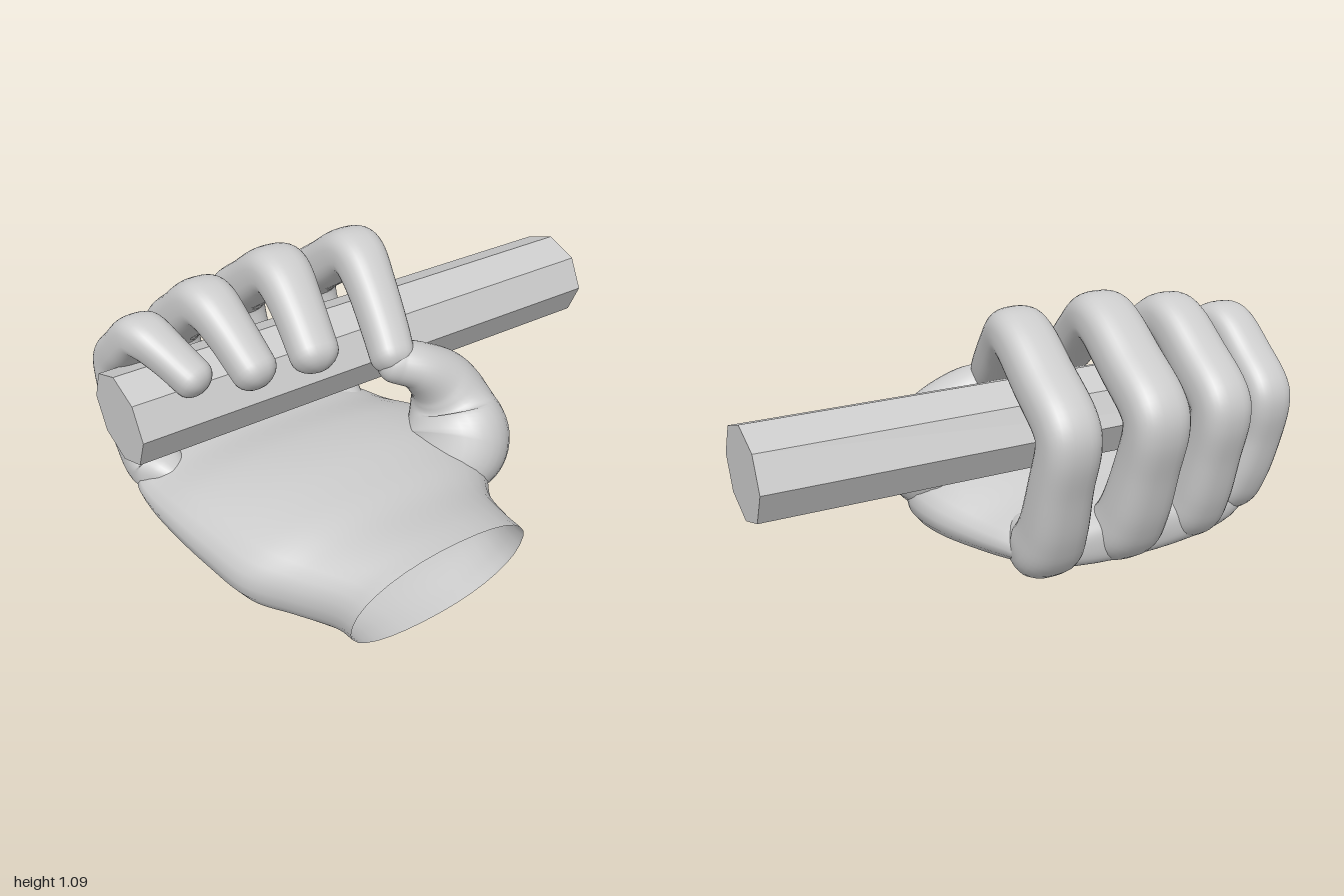
import * as THREE from 'three';

const SIDES = 32;
const V = (x, y, z) => new THREE.Vector3(x, y, z);
const spline = (pts) => new THREE.CatmullRomCurve3(pts, false, 'catmullrom', 0.5);

// Unit rounded-square outline, power 2 is a circle
function outline(j, power) {
  const a = (j / SIDES) * Math.PI * 2, c = Math.cos(a), s = Math.sin(a), e = 2 / power;
  return [Math.sign(c) * Math.abs(c) ** e, Math.sign(s) * Math.abs(s) ** e];
}

// Smooth skin over a list of closed rings
function skin(rings) {
  const pos = [], idx = [];
  for (const ring of rings) for (const p of ring) pos.push(p.x, p.y, p.z);
  for (let i = 0; i < rings.length - 1; i++) {
    for (let j = 0; j < SIDES; j++) {
      const k = (j + 1) % SIDES, a = i * SIDES, b = a + SIDES;
      idx.push(a + j, a + k, b + j, a + k, b + k, b + j);
    }
  }
  const g = new THREE.BufferGeometry();
  g.setAttribute('position', new THREE.Float32BufferAttribute(pos, 3));
  g.setIndex(idx);
  g.computeVertexNormals();
  return g;
}

// Limb swept through points [x, y, z, halfWidth, halfDepth], with a rounded tip
function limb(points, ref, power) {
  const path = spline(points.map((p) => V(p[0], p[1], p[2])));
  const size = spline(points.map((p) => V(p[3], p[4], 0)));
  const rings = [], steps = points.length * 6;
  const addRing = (t, scale, push) => {
    const c = path.getPoint(t), r = size.getPoint(t), T = path.getTangent(t);
    const side = ref.clone().addScaledVector(T, -ref.dot(T)).normalize();
    const up = T.clone().cross(side);
    c.addScaledVector(T, push * r.y);
    rings.push(Array.from({ length: SIDES }, (_, j) => {
      const [u, v] = outline(j, power);
      return c.clone().addScaledVector(side, u * r.x * scale).addScaledVector(up, v * r.y * scale);
    }));
  };
  for (let i = 0; i <= steps; i++) addRing(i / steps, 1, 0);
  for (let i = 1; i <= 6; i++) {
    const a = (i / 6) * Math.PI / 2;
    addRing(1, Math.cos(a), Math.sin(a) * 0.85);
  }
  return skin(rings);
}

// Palm, thumb web and wrist: sections [z, xMin, xMax, yMin, yMax, slant], open at the wrist
function palmGeometry() {
  const S = [
    [0.69, -0.69, 0.02, 0.0, 0.47, 0.38],
    [0.6, -0.705, 0.035, 0.003, 0.46, 0.32],
    [0.45, -0.785, 0.085, 0.01, 0.44, 0.2],
    [0.3, -0.875, 0.19, 0.015, 0.445, 0.08],
    [0.1, -0.91, 0.27, 0.03, 0.45, 0],
    [-0.1, -0.93, 0.265, 0.06, 0.43, 0],
    [-0.3, -0.93, 0.19, 0.09, 0.385, 0],
    [-0.43, -0.91, 0.145, 0.12, 0.37, 0],
    [-0.52, -0.82, 0.1, 0.145, 0.345, 0],
    [-0.57, -0.63, -0.02, 0.18, 0.31, 0],
    [-0.585, -0.35, -0.35, 0.25, 0.25, 0],
  ];
  const A = spline(S.map((s) => V(s[0], s[1], s[2])));
  const B = spline(S.map((s) => V(s[3], s[4], s[5])));
  const rings = [];
  for (let i = 0; i <= 60; i++) {
    const { x: z, y: xMin, z: xMax } = A.getPoint(i / 60);
    const { x: yMin, y: yMax, z: slant } = B.getPoint(i / 60);
    rings.push(Array.from({ length: SIDES }, (_, j) => {
      const [u, v] = outline(j, 2.2);
      const dy = -v * (yMax - yMin) / 2;
      return V((xMin + xMax) / 2 + u * (xMax - xMin) / 2, (yMin + yMax) / 2 + dy, z + slant * dy);
    }));
  }
  return skin(rings);
}

// Curled finger in its own plane: [y, z, width, depth, sideways drift]; the root tapers into the palm
const CURL = [
  [0.235, -0.26, 0.35, 0.45, 0],
  [0.245, -0.38, 0.9, 0.95, 0],
  [0.26, -0.5, 1.16, 1.17, 0],
  [0.37, -0.575, 1.08, 1.1, 0],
  [0.55, -0.635, 1, 1, 0],
  [0.7, -0.675, 1, 0.97, 0],
  [0.78, -0.645, 1, 1, 0],
  [0.88, -0.51, 1, 0.97, 0],
  [0.975, -0.375, 0.98, 0.95, 0.05],
  [0.985, -0.29, 0.94, 0.95, 0.15],
  [0.91, -0.18, 0.84, 0.88, 0.5],
  [0.79, -0.05, 0.78, 0.85, 1],
];

function finger({ x, drift, baseY, sy, sz, w, d, lift = 0, rootX = 0, extra = [] }) {
  const pts = CURL.map(([y, z, kw, kd, k], i) => [
    x + drift * k + rootX * Math.max(0, 1 - i / 4),
    baseY + (y - 0.25) * sy + lift * k,
    -0.32 + (z + 0.32) * sz, w * kw, d * kd,
  ]);
  return limb([...pts, ...extra], V(1, 0, 0), 2.6);
}

export function createModel() {
  const grey = new THREE.MeshStandardMaterial({ color: 0xcccccc, side: THREE.DoubleSide });
  grey.name = 'grey';
  const model = new THREE.Group();
  model.name = 'handGrippingBar';
  const hand = new THREE.Group();
  hand.name = 'hand';
  model.add(hand);
  const add = (parent, name, geometry) => {
    const m = new THREE.Mesh(geometry, grey);
    m.name = name;
    parent.add(m);
  };

  // Eight-sided bar with flat faces
  const bar = new THREE.CylinderGeometry(1, 1, 2, 8).toNonIndexed();
  bar.rotateZ(Math.PI / 2).scale(1, 0.167, 0.193).translate(0, 0.642, -0.28);
  bar.computeVertexNormals();
  add(model, 'bar', bar);

  add(hand, 'palm', palmGeometry());

  // Four fingers wrapped round the bar
  const fingers = {
    indexFinger: {
      x: 0.03, drift: -0.06, baseY: 0.25, sy: 0.99, sz: 1, w: 0.105, d: 0.098, rootX: -0.04,
      extra: [[-0.05, 0.72, 0.02, 0.078, 0.08]],
    },
    middleFinger: { x: -0.305, drift: -0.04, baseY: 0.25, sy: 1.01, sz: 1.03, w: 0.11, d: 0.098 },
    ringFinger: { x: -0.61, drift: 0.04, baseY: 0.255, sy: 0.95, sz: 0.9, w: 0.1, d: 0.095, lift: 0.02 },
    littleFinger: {
      x: -0.865, drift: 0.09, baseY: 0.29, sy: 0.83, sz: 0.7, w: 0.088, d: 0.08, lift: 0.06, rootX: 0.08,
    },
  };
  for (const [name, spec] of Object.entries(fingers)) add(hand, name, finger(spec));

  // Thumb rising from the palm to meet the index fingertip
  add(hand, 'thumb', limb([
    [-0.04, 0.19, 0.24, 0.05, 0.04],
    [0.06, 0.27, 0.21, 0.18, 0.14],
    [0.14, 0.36, 0.165, 0.225, 0.185],
    [0.17, 0.47, 0.1, 0.195, 0.15],
    [0.135, 0.57, 0.075, 0.14, 0.125],
    [0.045, 0.655, 0.055, 0.11, 0.092],
    [-0.04, 0.69, 0.03, 0.08, 0.08],
  ], V(0, 0, 1), 2));

  return model;
}
